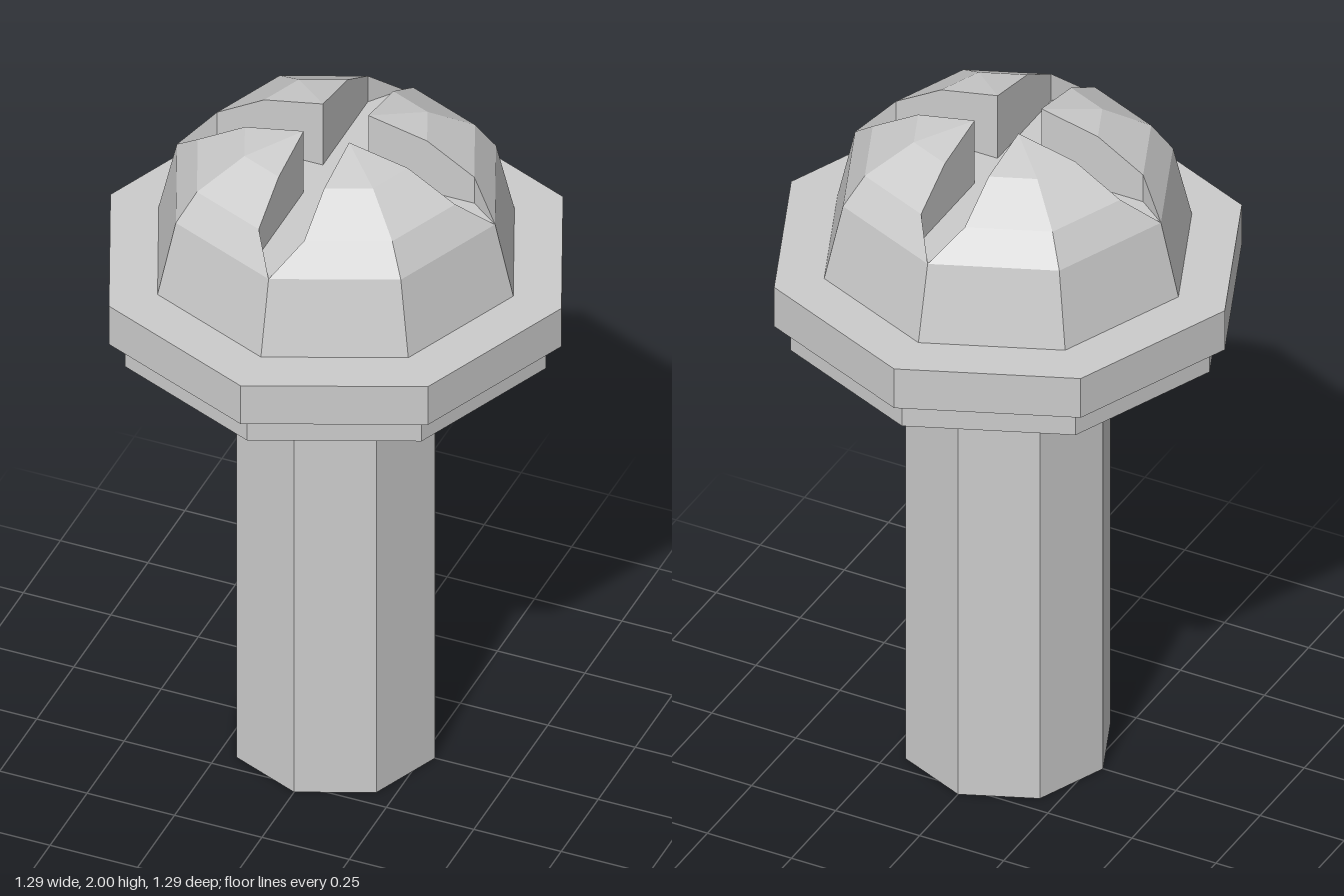
import * as THREE from 'three';

const SIDES = 8;
const SLOT = 0.065;      // half width of the cross slot
const FLOOR = 1.8;       // height of the slot floor
const TIP = 0.455;       // radius where the slot runs out
const slope = Math.tan(Math.PI / 8);

const material = new THREE.MeshStandardMaterial({ color: 0xcccccc, flatShading: true });

function add(parent, name, geometry) {
  const mesh = new THREE.Mesh(geometry, material);
  mesh.name = name;
  parent.add(mesh);
  return mesh;
}

// Octagonal turned part from [radius, height] pairs, bottom to top
function turned(profile) {
  return new THREE.LatheGeometry(profile.map(([r, y]) => new THREE.Vector2(r, y)), SIDES);
}

// One quarter of the dome with its two slot walls.
// Each ring runs: slot floor, slot rim, diagonal corner, slot rim, slot floor.
function domeQuarter() {
  const ring = (e, w, d, y) => [
    [e, FLOOR, w], [e, y, w], [d, y, d], [w, y, e], [w, FLOOR, e],
  ];
  const octRing = (r, y) => ring(r - SLOT * slope, SLOT, r * Math.SQRT1_2, y);
  const rings = [
    ring(TIP, 0, TIP * Math.SQRT1_2, FLOOR),
    octRing(0.395, 1.885),
    octRing(0.26, 1.965),
    ring(SLOT, SLOT, SLOT, 2),
  ];
  const index = [];
  for (let i = 0; i < rings.length - 1; i++) {
    for (let j = 0; j < 4; j++) {
      const a = i * 5 + j, b = a + 1, d = a + 5, c = d + 1;
      index.push(a, d, c, a, c, b);
    }
  }
  const indexed = new THREE.BufferGeometry();
  indexed.setAttribute('position', new THREE.Float32BufferAttribute(rings.flat(2), 3));
  indexed.setIndex(index);
  const geometry = indexed.toNonIndexed();
  geometry.computeVertexNormals();
  return geometry;
}

// Flat cross with pointed ends
function slotFloor() {
  const end = 0.395 - SLOT * slope;
  const quarter = [[TIP, 0], [end, SLOT], [SLOT, SLOT], [SLOT, end]];
  const points = [];
  for (let k = 0; k < 4; k++) {
    for (const [x, y] of quarter) {
      points.push(new THREE.Vector2(x, y).rotateAround(new THREE.Vector2(), k * Math.PI / 2));
    }
  }
  return new THREE.ShapeGeometry(new THREE.Shape(points)).rotateX(-Math.PI / 2).translate(0, FLOOR, 0);
}

export function createModel() {
  const model = new THREE.Group();
  model.name = 'screw';

  // Shank and the two stacked collars
  add(model, 'shank', turned([[0, 0], [0.283, 0], [0.283, 1.37]]));
  add(model, 'lowerCollar', turned([[0.283, 1.37], [0.6, 1.37], [0.6, 1.455]]));
  add(model, 'upperCollar', turned([[0.6, 1.455], [0.645, 1.455], [0.645, 1.58], [0.507, 1.58]]));

  // Domed head cut by a cross slot
  const head = new THREE.Group();
  head.name = 'head';
  add(head, 'headBase', turned([[0.507, 1.58], [TIP, FLOOR]]));
  add(head, 'slotFloor', slotFloor());
  const quarter = domeQuarter();
  for (let k = 0; k < 4; k++) {
    add(head, 'domeQuarter', quarter).rotation.y = k * Math.PI / 2;
  }
  model.add(head);
  return model;
}
